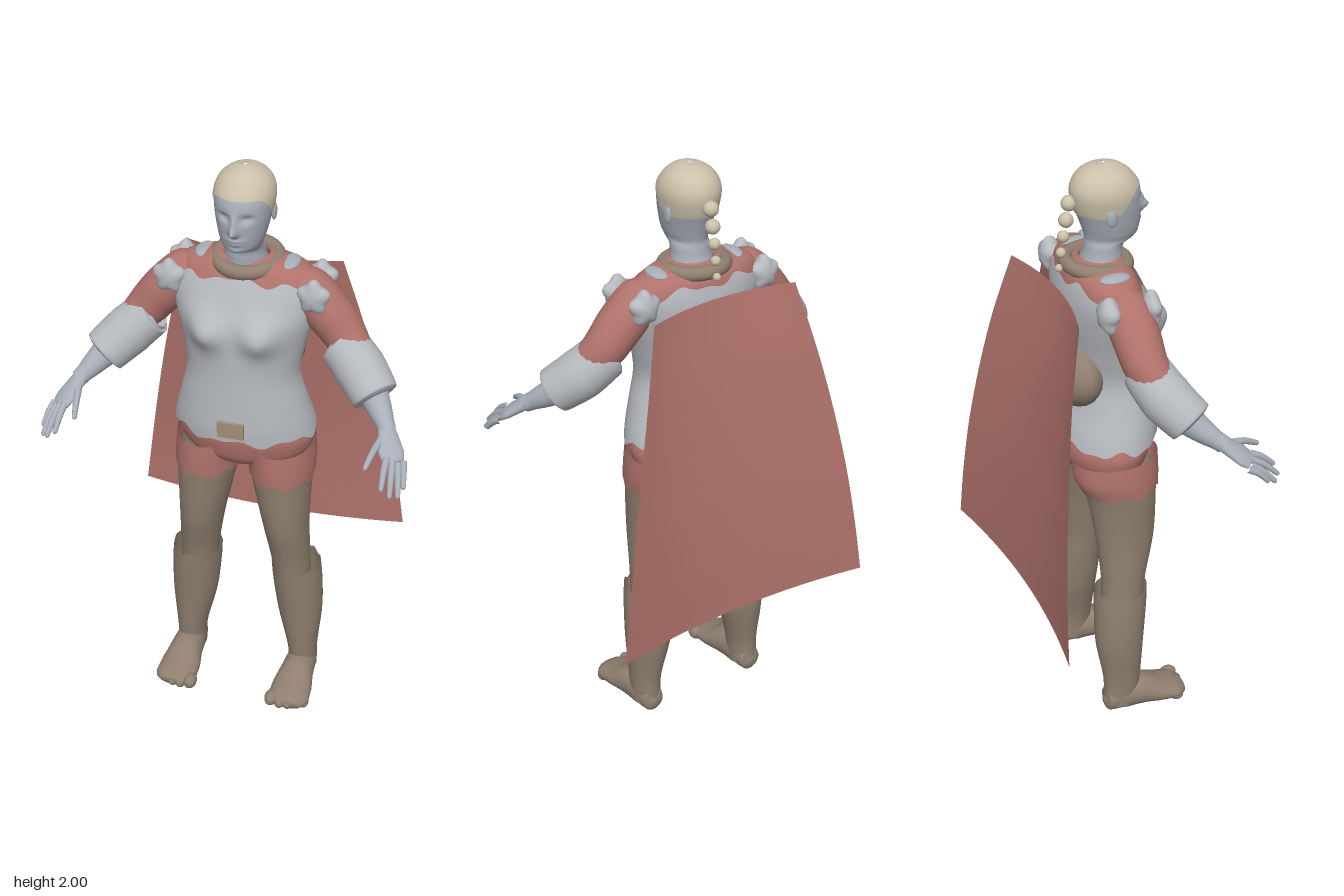
import * as THREE from 'three';

const mat = (name, color, side = THREE.FrontSide) => {
  const m = new THREE.MeshStandardMaterial({ color, side });
  m.name = name;
  return m;
};

// Smooth lookup in rows of [y, ...values]
function lookup(rows, y) {
  let k = 0;
  while (k < rows.length - 2 && y > rows[k + 1][0]) k++;
  const a = rows[k], b = rows[k + 1], p = rows[Math.max(k - 1, 0)], q = rows[Math.min(k + 2, rows.length - 1)];
  const h = b[0] - a[0], t = Math.min(Math.max((y - a[0]) / h, 0), 1), t2 = t * t, t3 = t2 * t;
  return a.map((_, i) => {
    const ma = ((b[i] - p[i]) / (b[0] - p[0])) * h, mb = ((q[i] - a[i]) / (q[0] - a[0])) * h;
    return (2 * t3 - 3 * t2 + 1) * a[i] + (t3 - 2 * t2 + t) * ma + (3 * t2 - 2 * t3) * b[i] + (t3 - t2) * mb;
  });
}

// Surface from fn(u, v) -> [x, y, z]; u wraps round when closed
function grid(name, material, nu, nv, fn, closed = true) {
  const pos = [], index = [], cols = closed ? nu : nu + 1;
  for (let j = 0; j <= nv; j++) for (let i = 0; i < cols; i++) pos.push(...fn(i / nu, j / nv));
  for (let j = 0; j < nv; j++) for (let i = 0; i < nu; i++) {
    const a = j * cols + i, b = j * cols + ((i + 1) % cols), c = a + cols, d = b + cols;
    index.push(a, b, c, b, d, c);
  }
  const g = new THREE.BufferGeometry();
  g.setAttribute('position', new THREE.Float32BufferAttribute(pos, 3));
  g.setIndex(index);
  g.computeVertexNormals();
  const mesh = new THREE.Mesh(g, material);
  mesh.name = name;
  return mesh;
}

// Upright form from rows [y, centreX, halfWidth, frontZ, backZ]; lo and hi give hems by angle
function upright(name, material, rows, lo, hi, { off = 0, bump = () => 0, nu = 64, nv = 32 } = {}) {
  return grid(name, material, nu, nv, (u, v) => {
    const th = u * Math.PI * 2, c = Math.cos(th), f = -Math.sin(th);
    const y = lo(th) + (hi(th) - lo(th)) * v;
    const [, cx, hw, zf, zb] = lookup(rows, y);
    const x = cx + (hw + off) * c;
    return [x, y, (zf + zb) / 2 + ((zf - zb) / 2 + off) * f + (f > 0 ? bump(x, y) * f : 0)];
  });
}

// Limb along points [x, y, z, ra, rb]; ra lies along ref
function limb(name, material, pts, ref = [0, 0, 1], nu = 20, nv = 32) {
  const curve = new THREE.CatmullRomCurve3(pts.map((p) => new THREE.Vector3(p[0], p[1], p[2])));
  const r = new THREE.Vector3(...ref);
  return grid(name, material, nu, nv, (u, v) => {
    const s = v * (pts.length - 1), k = Math.min(Math.floor(s), pts.length - 2), w = s - k;
    const rad = (i) => THREE.MathUtils.lerp(pts[k][i] ?? pts[k][3], pts[k + 1][i] ?? pts[k + 1][3], w);
    const t = curve.getTangent(v), a = r.clone().addScaledVector(t, -r.dot(t)).normalize();
    const b = t.clone().cross(a), th = u * Math.PI * 2;
    return curve.getPoint(v).addScaledVector(a, Math.cos(th) * rad(3)).addScaledVector(b, Math.sin(th) * rad(4)).toArray();
  });
}

function ball(name, material, [x, y, z], [rx, ry, rz], rag = 0) {
  const g = new THREE.SphereGeometry(1, 24, 16), p = g.attributes.position;
  for (let i = 0; i < p.count; i++) {
    const k = 1 + rag * Math.sin(5 * Math.atan2(p.getY(i), p.getX(i)));
    p.setXY(i, p.getX(i) * k, p.getY(i) * k);
  }
  g.scale(rx, ry, rz).translate(x, y, z);
  if (rag) g.computeVertexNormals();
  const mesh = new THREE.Mesh(g, material);
  mesh.name = name;
  return mesh;
}

// Copy of a mesh on the other side of x = 0
function mirrored(mesh) {
  const g = mesh.geometry.clone().scale(-1, 1, 1), ix = g.index.array;
  for (let i = 0; i < ix.length; i += 3) [ix[i], ix[i + 1]] = [ix[i + 1], ix[i]];
  g.computeVertexNormals();
  const m = new THREE.Mesh(g, mesh.material);
  m.name = mesh.name.replace('left', 'right');
  return m;
}

export function createModel() {
  const model = new THREE.Group();
  model.name = 'capedFigure';
  const skin = mat('skin', 0xa9afb9), tunic = mat('tunicGrey', 0xb6b9be, THREE.DoubleSide);
  const red = mat('clothRed', 0xb1736c, THREE.DoubleSide), brown = mat('leatherBrown', 0x8f7f6f, THREE.DoubleSide);
  const hair = mat('hair', 0xcbc0a9), tan = mat('buckleTan', 0xa18f78);
  const add = (...m) => model.add(...m);
  const pair = (...ms) => ms.forEach((m) => model.add(m, mirrored(m)));
  const at = (y) => () => y;
  const rag = (t) => 0.009 * Math.sin(7 * t) + 0.006 * Math.sin(13 * t + 1);
  const spot = (x, y, cx, cy, sx, sy) => Math.exp(-(((x - cx) / sx) ** 2) - ((y - cy) / sy) ** 2);

  // Head with modelled face, ears and neck
  const head = [
    [1.64, 0, 0.08, 0.055, -0.09], [1.7, 0, 0.065, 0.06, -0.068], [1.735, 0, 0.063, 0.068, -0.062],
    [1.752, 0, 0.062, 0.105, -0.06], [1.775, 0, 0.07, 0.116, -0.065], [1.82, 0, 0.081, 0.121, -0.08],
    [1.87, 0, 0.09, 0.122, -0.098], [1.92, 0, 0.093, 0.114, -0.104], [1.96, 0, 0.078, 0.088, -0.088],
    [1.985, 0, 0.05, 0.057, -0.058], [1.997, 0, 0.02, 0.025, -0.025], [2, 0, 0.001, 0.001, 0],
  ];
  const face = (x, y) => 0.03 * spot(x, y, 0, 1.828, 0.013, 0.016) + 0.016 * spot(x, y, 0, 1.855, 0.011, 0.025)
    - 0.014 * spot(Math.abs(x), y, 0.036, 1.868, 0.02, 0.013) + 0.008 * spot(x, y, 0, 1.796, 0.024, 0.006)
    + 0.007 * spot(x, y, 0, 1.783, 0.02, 0.006) + 0.006 * spot(x, y, 0, 1.755, 0.025, 0.012);
  add(upright('head', skin, head, at(1.64), at(1.998), { bump: face, nu: 96, nv: 90 }));
  const hairline = (t) => 1.847 + 0.08 * THREE.MathUtils.smoothstep(-Math.sin(t), -0.2, 0.8);
  add(upright('hairCap', hair, head, hairline, at(2), { off: 0.003 }));
  pair(ball('leftEar', skin, [0.089, 1.85, -0.01], [0.008, 0.03, 0.018]));
  [[1.885, -0.115, 0.025], [1.83, -0.125, 0.024], [1.776, -0.135, 0.019], [1.722, -0.143, 0.016], [1.67, -0.15, 0.013]]
    .forEach(([y, z, r], i) => add(ball('braidBead' + (i + 1), hair, [0, y, z], [r, r, r])));

  // Torso: red shirt below a ragged grey tunic
  const torso = [
    [1.04, 0, 0.238, 0.15, -0.18], [1.12, 0, 0.222, 0.155, -0.16], [1.2, 0, 0.2, 0.152, -0.13],
    [1.3, 0, 0.178, 0.147, -0.11], [1.4, 0, 0.193, 0.146, -0.125], [1.5, 0, 0.22, 0.138, -0.14],
    [1.57, 0, 0.236, 0.112, -0.142], [1.62, 0, 0.232, 0.09, -0.135], [1.66, 0, 0.2, 0.07, -0.122],
    [1.68, 0, 0.14, 0.058, -0.1], [1.695, 0, 0.075, 0.05, -0.08],
  ];
  const bust = (x, y) => 0.05 * spot(Math.abs(x), y, 0.095, 1.475, 0.062, 0.06);
  add(upright('redShirt', red, torso, at(1.45), at(1.695), { bump: bust }));
  add(upright('tunic', tunic, torso, (t) => 1.077 + rag(t),
    (t) => 1.64 - 0.09 * Math.abs(Math.cos(t)) ** 6 + rag(t), { off: 0.008, bump: bust, nu: 96, nv: 48 }));
  pair(ball('leftShoulderOpening', skin, [0.14, 1.672, -0.025], [0.03, 0.013, 0.05]));
  pair(ball('leftFrontShoulderPatch', tunic, [0.235, 1.602, 0.052], [0.05, 0.055, 0.03], 0.12));
  pair(ball('leftBackShoulderPatch', tunic, [0.225, 1.6, -0.085], [0.05, 0.055, 0.035], 0.12));

  // Collar, buckle and rounded back pouch
  const collar = new THREE.Mesh(new THREE.TorusGeometry(0.096, 0.024, 16, 48), brown);
  collar.name = 'collar';
  collar.rotation.x = Math.PI / 2 + 0.08;
  collar.position.set(0, 1.67, -0.025);
  const buckle = new THREE.Mesh(new THREE.BoxGeometry(0.088, 0.055, 0.02), tan);
  buckle.name = 'beltBuckle';
  buckle.position.set(0, 1.132, 0.163);
  add(collar, buckle, ball('backPouch', brown, [0, 1.315, -0.115], [0.17, 0.127, 0.093]));

  // Arms: sleeve, cuff, forearm and hand
  pair(
    limb('leftSleeve', red, [[0.13, 1.6, -0.02, 0.055], [0.2, 1.585, -0.015, 0.078], [0.27, 1.52, -0.01, 0.076],
      [0.32, 1.46, -0.005, 0.071], [0.37, 1.4, 0.02, 0.06]]),
    limb('leftCuff', tunic, [[0.3, 1.437, 0, 0.06], [0.312, 1.43, 0.002, 0.078], [0.385, 1.365, 0.035, 0.084],
      [0.452, 1.303, 0.088, 0.076], [0.457, 1.298, 0.092, 0.045]]),
    limb('leftForearm', skin, [[0.4, 1.35, 0.05, 0.055], [0.45, 1.3, 0.09, 0.047], [0.5, 1.25, 0.15, 0.03],
      [0.515, 1.235, 0.17, 0.028]]),
    limb('leftPalm', skin, [[0.505, 1.245, 0.16, 0.026, 0.024], [0.52, 1.225, 0.185, 0.034, 0.02],
      [0.54, 1.195, 0.222, 0.044, 0.017], [0.553, 1.175, 0.245, 0.036, 0.013], [0.557, 1.17, 0.25, 0.003, 0.003]],
    [-1, 0.3, 0.5]));
  [[[0.58, 1.168, 0.223], [0.597, 1.115, 0.288]], [[0.566, 1.17, 0.238], [0.587, 1.1, 0.318]],
    [[0.55, 1.18, 0.247], [0.565, 1.11, 0.338]], [[0.532, 1.19, 0.252], [0.537, 1.13, 0.338]],
    [[0.503, 1.225, 0.2], [0.478, 1.18, 0.31]]].forEach(([a, b], i) => {
    const mid = a.map((v, k) => (v + b[k]) / 2 + (k === 1 ? 0.008 : 0));
    const tip = b.map((v, k) => v + (v - mid[k]) * 0.12);
    pair(limb('leftFinger' + (i + 1), skin, [[...a, 0.012], [...mid, 0.011], [...b, 0.008], [...tip, 0.001]], [-1, 0.3, 0.5], 10, 12));
  });

  // Shorts and stockings
  const pelvis = [[0.93, 0, 0.07, 0.06, -0.1], [0.97, 0, 0.19, 0.11, -0.15], [1.03, 0, 0.228, 0.132, -0.168], [1.1, 0, 0.218, 0.14, -0.155]];
  const leg = [
    [0.47, 0.168, 0.064, 0.066, -0.08], [0.55, 0.162, 0.067, 0.078, -0.078], [0.7, 0.147, 0.078, 0.112, -0.09],
    [0.88, 0.13, 0.1, 0.124, -0.118], [0.95, 0.126, 0.106, 0.127, -0.15], [1.03, 0.12, 0.105, 0.125, -0.155],
  ];
  add(upright('shortsSeat', red, pelvis, at(0.93), at(1.1)));
  pair(upright('leftShortsLeg', red, leg, (t) => 0.9 + rag(t), at(1.02), { off: 0.006 }));
  pair(upright('leftStocking', brown, leg, at(0.47), at(0.96)));

  // Boots with toes
  const boot = [
    [0.04, 0.207, 0.048, 0.03, -0.09], [0.14, 0.205, 0.052, 0.042, -0.09], [0.3, 0.193, 0.077, 0.055, -0.112],
    [0.44, 0.183, 0.085, 0.068, -0.112], [0.53, 0.176, 0.084, 0.075, -0.108],
  ];
  pair(upright('leftBoot', brown, boot, at(0.04), (t) => 0.508 + rag(t) * 0.7));
  pair(limb('leftFoot', brown, [[0.207, 0.055, -0.094, 0.003], [0.207, 0.054, -0.082, 0.038, 0.042],
    [0.207, 0.064, -0.02, 0.051, 0.06], [0.207, 0.062, 0.05, 0.058, 0.058], [0.207, 0.047, 0.11, 0.07, 0.042],
    [0.208, 0.037, 0.17, 0.073, 0.032], [0.208, 0.032, 0.2, 0.05, 0.02], [0.208, 0.03, 0.207, 0.003]], [1, 0, 0], 28, 42));
  [[0.15, 0.183, 0.026], [0.183, 0.19, 0.021], [0.212, 0.187, 0.02], [0.24, 0.178, 0.019], [0.264, 0.165, 0.018]]
    .forEach(([x, z, r], i) => pair(ball('leftToe' + (i + 1), brown, [x, r + 0.01, z], [r * 0.9, r, r * 1.25])));

  // Cape flaring down and back, its side edges swept rearward
  const hang = [[0.5, -0.297], [0.7, -0.288], [0.97, -0.265], [1.34, -0.213], [1.6, -0.157]];
  add(grid('cape', red, 24, 24, (u, v) => {
    const y = 0.5 + 1.1 * v, s = 1 - 2 * u, w = 0.48 - 0.215 * v + 0.02 * Math.sin(v * Math.PI);
    return [s * w, y, lookup(hang, y)[1] - 0.045 * s * s];
  }, false));
  return model;
}
